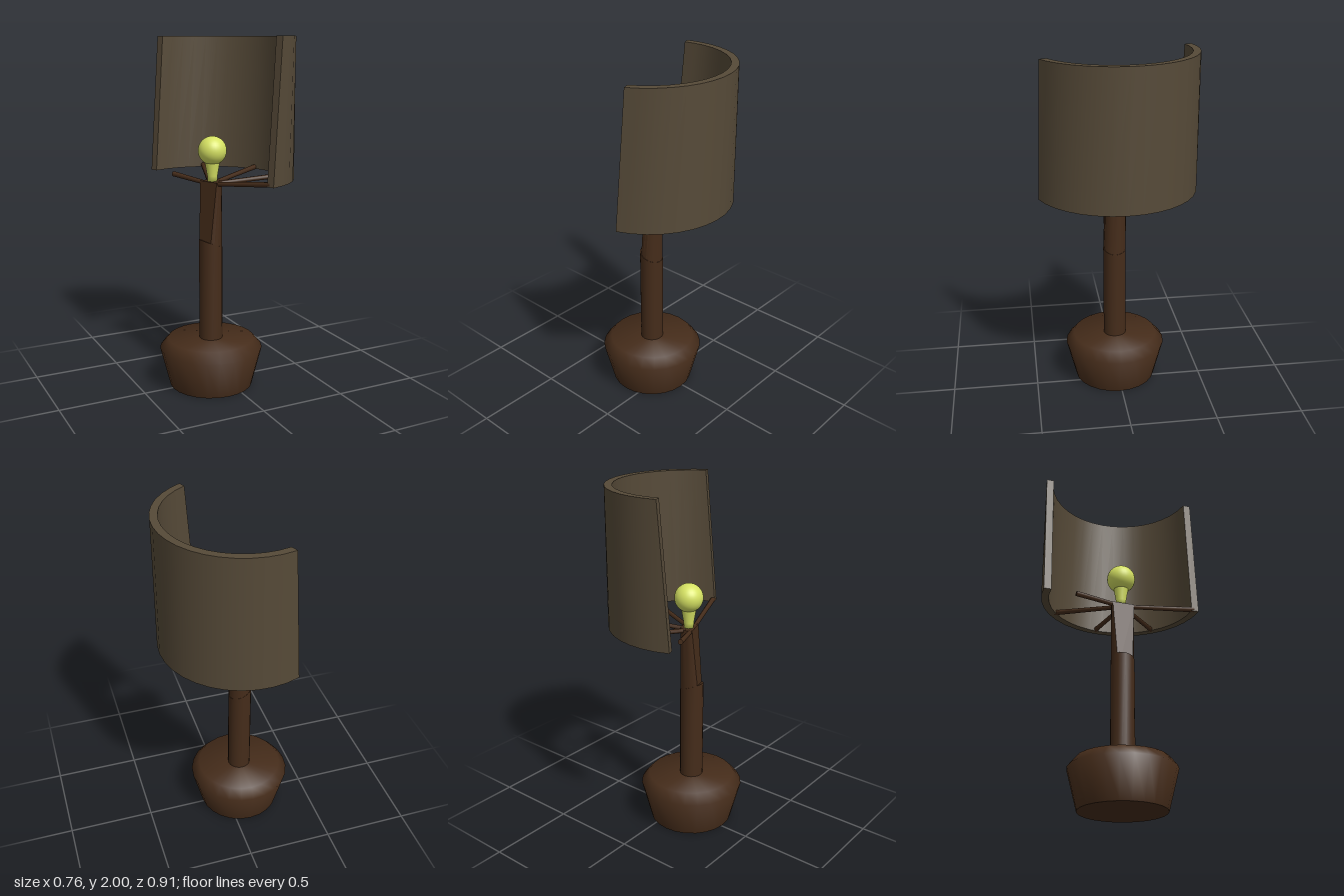
import * as THREE from 'three';
import { toCreasedNormals } from 'three/addons/utils/BufferGeometryUtils.js';

const AXIS = new THREE.Vector3(-0.087, 0, 0.013); // shared axis of base, pole and shade
const FACING = THREE.MathUtils.degToRad(-21.5);   // middle of the half that remains
const cutOffset = (y) => 0.016 - 0.082 * (y - 1.22); // leaning cut plane, distance from axis

// Arc of radius r on the kept side of the cut plane at height y
function arc(r, y, n) {
  const half = Math.PI - Math.acos(THREE.MathUtils.clamp(cutOffset(y) / r, -1, 1));
  return Array.from({ length: n + 1 }, (_, i) => {
    const a = FACING - half + (2 * half * i) / n;
    return new THREE.Vector2(Math.cos(a) * r, Math.sin(a) * r);
  });
}

// Capped solid between a section at y0 and a section at y1
function loft(section, y0, y1) {
  const rings = [section(y0), section(y1)];
  const n = rings[0].length;
  const pos = [], index = [];
  rings.forEach((ring, k) => ring.forEach((p) => pos.push(p.x, k ? y1 : y0, p.y)));
  for (let i = 0; i < n; i++) {
    const j = (i + 1) % n;
    index.push(i, i + n, j, j, i + n, j + n);
  }
  for (const [a, b, c] of THREE.ShapeUtils.triangulateShape(rings[0], [])) {
    index.push(a, b, c, a + n, c + n, b + n);
  }
  const geo = new THREE.BufferGeometry();
  geo.setAttribute('position', new THREE.Float32BufferAttribute(pos, 3));
  geo.setIndex(index);
  return toCreasedNormals(geo, 0.7);
}

const lathe = (points, segments) =>
  new THREE.LatheGeometry(points.map(([r, y]) => new THREE.Vector2(r, y)), segments);

export function createModel() {
  const group = new THREE.Group();
  const wood = new THREE.MeshStandardMaterial({ color: 0x452c1a });
  const cloth = new THREE.MeshStandardMaterial({ color: 0x564a38 });
  const glow = new THREE.MeshStandardMaterial({ color: 0xd6e263 });

  const add = (name, geo, mat, parent = group) => {
    const mesh = new THREE.Mesh(geo, mat);
    mesh.name = name;
    parent.add(mesh);
    return mesh;
  };
  const body = new THREE.Group();
  body.name = 'lampBody';
  body.position.copy(AXIS);
  group.add(body);

  // Heavy foot with a bevelled shoulder
  const foot = lathe([[0, 0], [0.24, 0], [0.297, 0.225], [0.25, 0.28], [0, 0.28]], 24);
  add('base', toCreasedNormals(foot, 1.1), wood, body);

  // Full lower pole with a slanted top
  const lower = new THREE.CylinderGeometry(0.067, 0.067, 0.585, 20);
  lower.translate(0, 0.5525, 0);
  const p = lower.attributes.position;
  for (let i = 0; i < p.count; i++) {
    if (p.getY(i) > 0.5) p.setY(i, 0.845 - 0.38 * p.getX(i));
  }
  add('lowerPole', toCreasedNormals(lower, 0.7), wood, body);

  // Upper pole and shade, both trimmed by the leaning cut
  add('upperPole', loft((y) => arc(0.066, y, 14), 0.78, 1.2), wood, body);
  add('shade', loft((y) => [...arc(0.467, y, 18), ...arc(0.424, y, 18).reverse()], 1.22, 2), cloth, body);

  // Spokes rising from the pole to the shade; the last one is cut short
  const spokes = [[69, 0.44], [20.3, 0.44], [-26, 0.44], [-70.6, 0.44], [-115, 0.28]];
  for (const [deg, reach] of spokes) {
    const a = THREE.MathUtils.degToRad(deg);
    const at = (r) => new THREE.Vector3(Math.cos(a) * r, 1.185 + 0.11 * r, Math.sin(a) * r);
    const from = at(0.02), to = at(reach);
    const geo = new THREE.CylinderGeometry(0.015, 0.012, from.distanceTo(to), 8);
    const spoke = add('spoke', geo, wood, body);
    spoke.position.lerpVectors(from, to, 0.5);
    spoke.quaternion.setFromUnitVectors(new THREE.Vector3(0, 1, 0), to.sub(from).normalize());
  }

  // Bulb on its tapered neck
  const bulb = new THREE.Group();
  bulb.name = 'bulb';
  bulb.position.set(-0.07, 0, 0.003);
  group.add(bulb);
  add('bulbGlobe', new THREE.SphereGeometry(0.081, 32, 20).translate(0, 1.373, 0), glow, bulb);
  add('bulbNeck', lathe([[0, 1.195], [0.027, 1.195], [0.029, 1.23], [0.043, 1.31]], 20), glow, bulb);

  return group;
}
